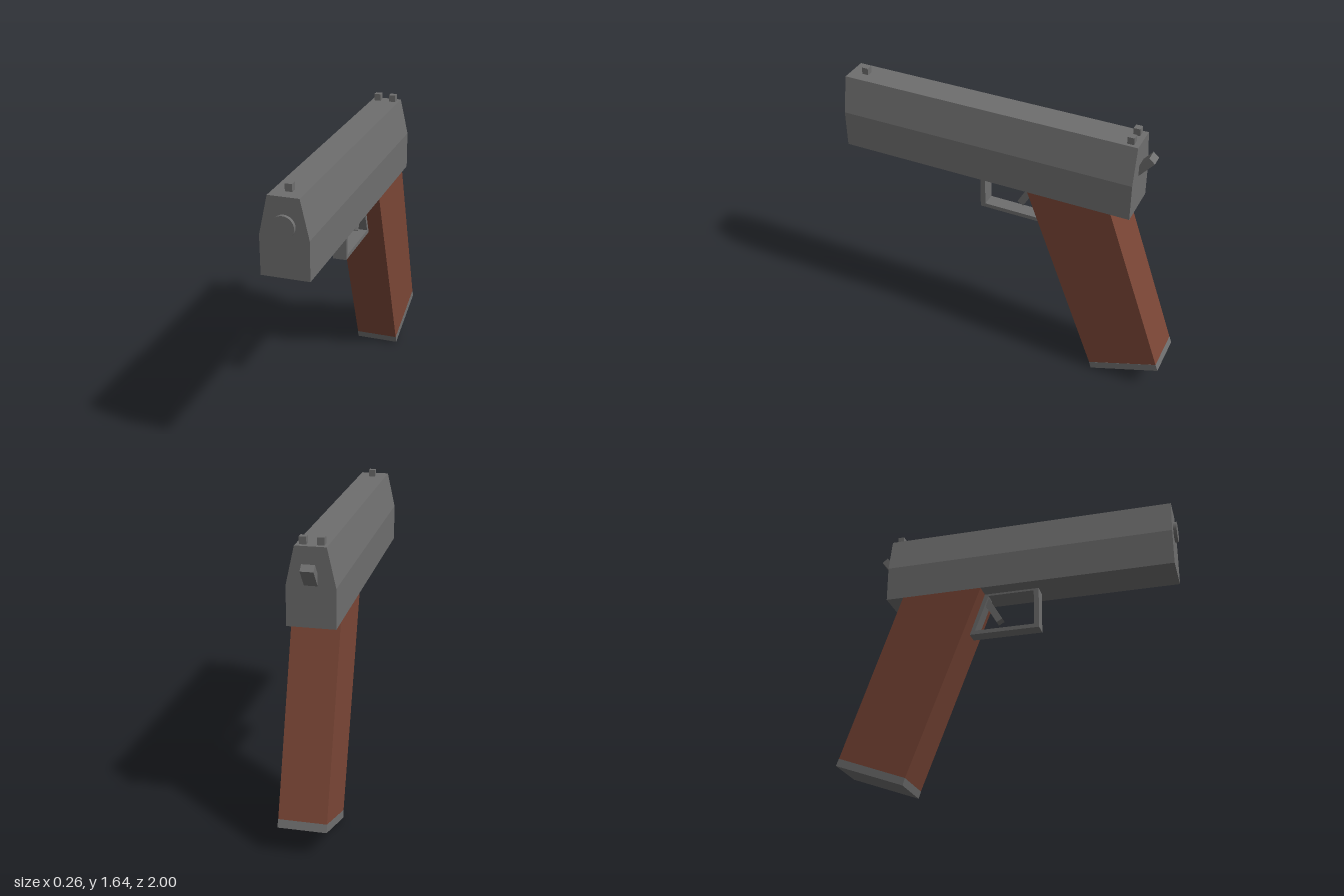
import * as THREE from 'three';

const steel = new THREE.MeshStandardMaterial({ color: 0x6e6e6e, flatShading: true });
const wood = new THREE.MeshStandardMaterial({ color: 0x7a4636, flatShading: true });

const toPoints = (pairs) => pairs.map(([a, b]) => new THREE.Vector2(a, b));

export function createModel() {
  const model = new THREE.Group();

  function add(name, geometry, material, x = 0, y = 0, z = 0, tilt = 0) {
    const mesh = new THREE.Mesh(geometry, material);
    mesh.name = name;
    mesh.position.set(x, y, z);
    mesh.rotation.x = tilt;
    model.add(mesh);
    return mesh;
  }

  // Side outline given as (z, y) pairs, extruded across x and centred
  function sidePlate(outline, width, hole) {
    const shape = new THREE.Shape(toPoints(outline));
    if (hole) shape.holes.push(new THREE.Path(toPoints(hole)));
    return new THREE.ExtrudeGeometry(shape, { depth: width, bevelEnabled: false })
      .translate(0, 0, -width / 2)
      .rotateY(-Math.PI / 2);
  }

  // Slide: chamfered cross-section run along z
  const section = new THREE.Shape(toPoints([
    [-0.13, 1.175], [0.13, 1.175], [0.13, 1.39], [0.083, 1.6], [-0.083, 1.6], [-0.13, 1.39],
  ]));
  add('slide', new THREE.ExtrudeGeometry(section, { depth: 1.73, bevelEnabled: false }), steel, 0, 0, -0.75);

  // Barrel end
  const barrel = new THREE.CylinderGeometry(0.06, 0.06, 0.1, 32).rotateX(Math.PI / 2);
  const barrelMaterial = steel.clone();
  barrelMaterial.flatShading = false;
  add('barrel', barrel, barrelMaterial, 0, 1.45, 0.95);

  // Sights
  const sight = new THREE.BoxGeometry(0.038, 0.06, 0.038);
  add('frontSight', sight, steel, 0, 1.61, 0.89);
  for (const side of [-1, 1]) {
    add(side > 0 ? 'rearSightLeft' : 'rearSightRight', sight, steel, side * 0.046, 1.61, -0.703);
  }

  // Grip and base plate
  add('grip', sidePlate(
    [[-0.16, 1.175], [-0.645, 1.175], [-0.985, 0.19], [-0.58, 0.042]], 0.26), wood);
  add('basePlate', sidePlate(
    [[-0.58, 0.042], [-0.985, 0.19], [-1, 0.148], [-0.592, 0]], 0.262), steel);

  // Trigger guard loop, its rear bar following the grip
  add('triggerGuard', sidePlate(
    [[0.17, 1.175], [0.17, 0.92], [-0.25, 0.92], [-0.16, 1.175]], 0.08,
    [[0.14, 1.163], [-0.137, 1.163], [-0.218, 0.944], [0.14, 0.944]]), steel);

  // Trigger and hammer
  add('trigger', new THREE.BoxGeometry(0.05, 0.2, 0.04), steel, 0, 1.087, -0.123, -Math.PI / 6);
  add('hammer', new THREE.BoxGeometry(0.07, 0.16, 0.043), steel, 0, 1.447, -0.764, -0.7);

  return model;
}
